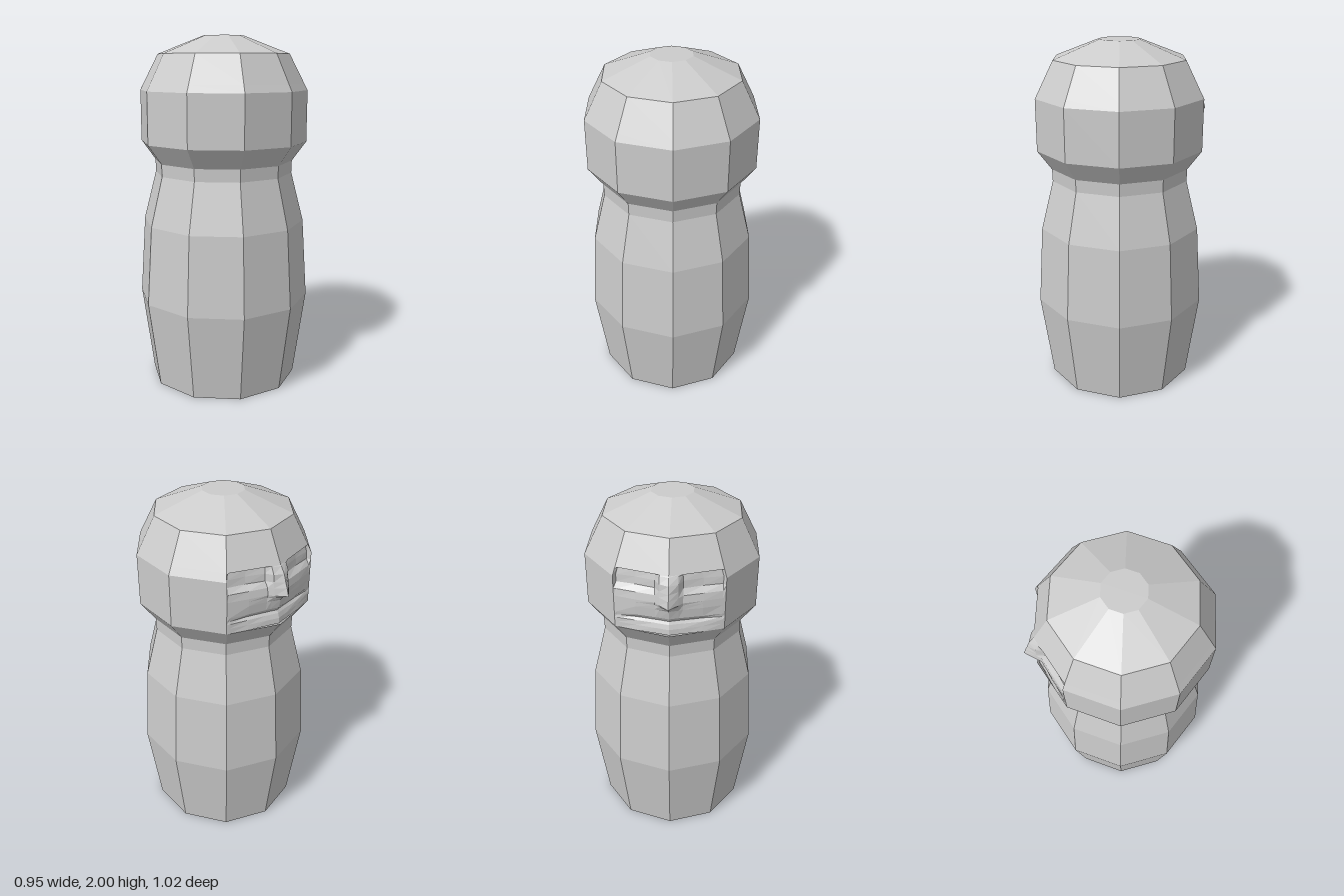
import * as THREE from 'three';

const SIDES = 10;
const STEP = (Math.PI * 2) / SIDES;
const HEAD_R = 0.478;

const material = new THREE.MeshStandardMaterial({
  color: 0xcccccc, flatShading: true, side: THREE.DoubleSide,
});

// Faceted ring surface from [radius, height] pairs, listed bottom to top
function turned(name, profile, firstSide = 0, sides = SIDES) {
  const points = profile.map(([r, y]) => new THREE.Vector2(r, y));
  const geometry = new THREE.LatheGeometry(points, sides, firstSide * STEP, sides * STEP);
  const mesh = new THREE.Mesh(geometry, material);
  mesh.name = name;
  return mesh;
}

// Carved relief over the two rear head panels; offsets run from the
// centre line outwards and push the surface out (+) or in (-)
function carvedFace() {
  const half = [0, 0.17, 0.25, 0.6, 0.95, 1];
  const rows = [
    // height, radius, offsets
    [1.41, HEAD_R, [-0.012, -0.01, -0.008, 0, 0, 0]],
    [1.44, HEAD_R, [-0.014, -0.012, -0.01, -0.004, 0, 0]],
    [1.465, HEAD_R, [-0.022, -0.02, -0.018, -0.008, 0, 0]],   // lower lip
    [1.48, HEAD_R, [-0.032, -0.03, -0.028, -0.02, -0.004, 0]], // mouth
    [1.5, HEAD_R, [-0.02, -0.018, -0.016, -0.006, 0, 0]],     // upper lip
    [1.55, HEAD_R, [-0.008, -0.008, -0.01, 0, 0, 0]],
    [1.575, HEAD_R, [0.012, 0.004, -0.008, 0, 0, 0]],         // nose underside
    [1.59, HEAD_R, [0.047, 0.014, -0.004, 0, 0, 0]],          // nose tip
    [1.63, HEAD_R, [0.034, 0.008, -0.01, -0.006, -0.004, 0]], // cheek top
    [1.66, HEAD_R, [0.022, 0.002, -0.03, -0.032, -0.024, 0]], // eye socket
    [1.7, HEAD_R, [0.008, 0, -0.032, -0.036, -0.026, 0]],
    [1.735, 0.46, [0.002, 0, -0.022, -0.024, -0.016, 0]],
    [1.74, 0.457, [0, 0, 0, 0, 0, 0]],                        // brow
  ];
  const order = [5, 4, 3, 2, 1, 0, -1, -2, -3, -4, -5];
  const positions = [];
  const index = [];
  rows.forEach(([y, r, offsets], i) => {
    order.forEach((k, j) => {
      const u = half[Math.abs(k)];
      const x = Math.sign(k) * u * r * Math.sin(STEP);
      const z = -r * (1 - u * (1 - Math.cos(STEP))) - offsets[Math.abs(k)];
      positions.push(x, y, z);
      if (i && j) {
        const d = i * order.length + j - 1;
        const a = d - order.length;
        index.push(a, a + 1, d + 1, a, d + 1, d);
      }
    });
  });
  const geometry = new THREE.BufferGeometry();
  geometry.setAttribute('position', new THREE.Float32BufferAttribute(positions, 3));
  geometry.setIndex(index);
  geometry.computeVertexNormals();
  const mesh = new THREE.Mesh(geometry, material);
  mesh.name = 'face';
  return mesh;
}

export function createModel() {
  const model = new THREE.Group();
  model.name = 'pegFigure';

  // Barrel body with a closed base and a narrow neck
  model.add(turned('body', [
    [0, 0], [0.428, 0], [0.4975, 0.5], [0.468, 0.95], [0.396, 1.23], [0.398, 1.3],
  ]));

  // Head: jaw ring, side band left open at the back for the face, domed crown
  model.add(turned('jaw', [[0.398, 1.3], [HEAD_R, 1.41]]));
  model.add(turned('headBand', [[HEAD_R, 1.41], [HEAD_R, 1.7], [0.457, 1.74]], 6, 8));
  model.add(carvedFace());
  model.add(turned('crown', [[0.457, 1.74], [0.374, 1.9], [0.115, 2], [0, 2]]));

  // The nose lengthens the back, so the axis sits slightly forward
  model.children.forEach((part) => { part.position.z = 0.014; });
  return model;
}
